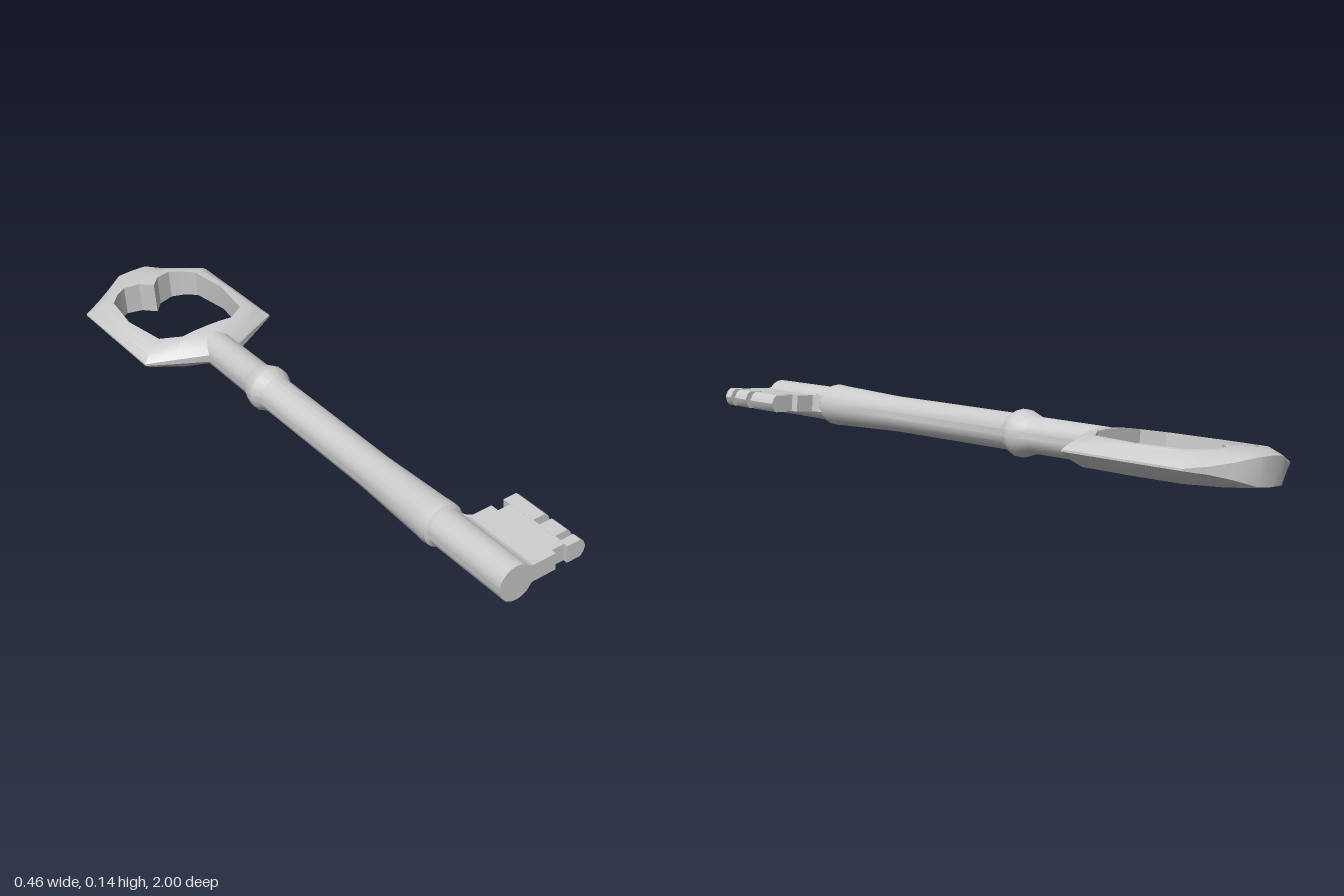
import * as THREE from 'three';
import { toCreasedNormals } from 'three/addons/utils/BufferGeometryUtils.js';

const material = new THREE.MeshStandardMaterial({ color: 0xcccccc });

function part(name, geometry, crease = 0.6) {
  const mesh = new THREE.Mesh(toCreasedNormals(geometry, crease), material);
  mesh.name = name;
  return mesh;
}

const shapeOf = (points) => new THREE.Shape(points.map(([x, y]) => new THREE.Vector2(x, y)));

// Extrude an (x, y) profile from z0 to z1
function bar(points, z0, z1) {
  return new THREE.ExtrudeGeometry(shapeOf(points), { depth: z1 - z0, bevelEnabled: false }).translate(0, 0, z0);
}

// Extrude an (x, z) outline, centred on y = 0
function plate(points, thickness) {
  return new THREE.ExtrudeGeometry(shapeOf(points), { depth: thickness, bevelEnabled: false })
    .translate(0, 0, -thickness / 2).rotateX(Math.PI / 2);
}

// Closed ring swept through matching outer and inner outlines
function bowGeometry() {
  // outer x, z; inner x, z; half thickness inside; half thickness at the rim
  const half = [
    [0, -1, 0, -0.845, 0.05, 0.04],
    [0.05, -1, 0.035, -0.885, 0.05, 0.038],
    [0.11, -0.967, 0.085, -0.897, 0.048, 0.022],
    [0.17, -0.933, 0.12, -0.877, 0.045, 0.01],
    [0.23, -0.9, 0.155, -0.84, 0.043, 0.003],
    [0.23, -0.7, 0.173, -0.7, 0.042, 0.003],
    [0.23, -0.5, 0.15, -0.545, 0.043, 0.003],
    [0.14, -0.45, 0.09, -0.5, 0.049, 0.008],
    [0.05, -0.4, 0.045, -0.5, 0.053, 0.012],
    [0, -0.4, 0, -0.5, 0.054, 0.045],
  ];
  const mirrored = half.slice(1, -1).reverse().map(([ox, oz, ix, iz, h, e]) => [-ox, oz, -ix, iz, h, e]);
  const stations = [...half, ...mirrored];
  const position = [], index = [];
  stations.forEach(([ox, oz, ix, iz, h, e]) => {
    const section = [
      [0, -h], [0, h], [0.35, h * 0.96], [0.72, Math.max(h * 0.5, (h + e) / 2)],
      [1, e], [1, -e], [0.72, -Math.max(h * 0.5, (h + e) / 2)], [0.35, -h * 0.96],
    ];
    section.forEach(([t, y]) => position.push(ix + (ox - ix) * t, y, iz + (oz - iz) * t));
  });
  const n = stations.length, m = 8;
  for (let i = 0; i < n; i++) {
    for (let j = 0; j < m; j++) {
      const i2 = (i + 1) % n, j2 = (j + 1) % m;
      const a = i * m + j, b = i2 * m + j, c = i2 * m + j2, d = i * m + j2;
      index.push(a, b, c, a, c, d);
    }
  }
  const geometry = new THREE.BufferGeometry();
  geometry.setAttribute('position', new THREE.Float32BufferAttribute(position, 3));
  geometry.setIndex(index);
  return geometry;
}

export function createModel() {
  const model = new THREE.Group();
  model.name = 'key';
  const key = new THREE.Group();
  key.name = 'tiltedKey';
  model.add(key);

  key.add(part('bow', bowGeometry()));

  // Turned shaft with a collar near the bow and a flared shoulder near the bit
  const profile = [
    [0, -0.47], [0.053, -0.46], [0.054, -0.2], [0.057, -0.19], [0.07, -0.152], [0.07, -0.132],
    [0.055, -0.1], [0.055, 0.4], [0.064, 0.66], [0.066, 0.69], [0.064, 0.708],
    [0.055, 0.715], [0.054, 1], [0, 1],
  ].map(([r, z]) => new THREE.Vector2(r, z));
  const shaft = part('shaft', new THREE.LatheGeometry(profile, 18).rotateX(Math.PI / 2), 0.5);
  shaft.position.x = -0.003;
  key.add(shaft);

  // Bit: plate with a stepped groove, rounded root and three teeth
  const bit = new THREE.Group();
  bit.name = 'bit';
  key.add(bit);
  bit.add(part('bitPlate', plate([
    [0, 0.72], [0.046, 0.72], [0.052, 0.735], [0.066, 0.745], [0.128, 0.745], [0.128, 0.772],
    [0.172, 0.772], [0.172, 0.982], [0.128, 0.982], [0.128, 0.997], [0, 0.997],
  ], 0.053)));
  bit.add(part('bitRoot', bar([
    [0, -0.052], [0.022, -0.045], [0.036, -0.033], [0.054, -0.0265],
    [0.054, 0.0265], [0.036, 0.033], [0.022, 0.045], [0, 0.052],
  ], 0.745, 0.997)));
  const tooth = [
    [0.168, -0.027], [0.212, -0.027], [0.222, -0.018], [0.229, 0],
    [0.222, 0.018], [0.212, 0.027], [0.168, 0.027],
  ];
  [[0.745, 0.86], [0.885, 0.945], [0.966, 0.995]].forEach(([z0, z1], i) => {
    bit.add(part('tooth' + (i + 1), bar(tooth, z0, z1)));
  });

  // The key rests slightly rolled about its length
  key.rotation.z = 0.087;
  key.position.y = 0.074;
  return model;
}
